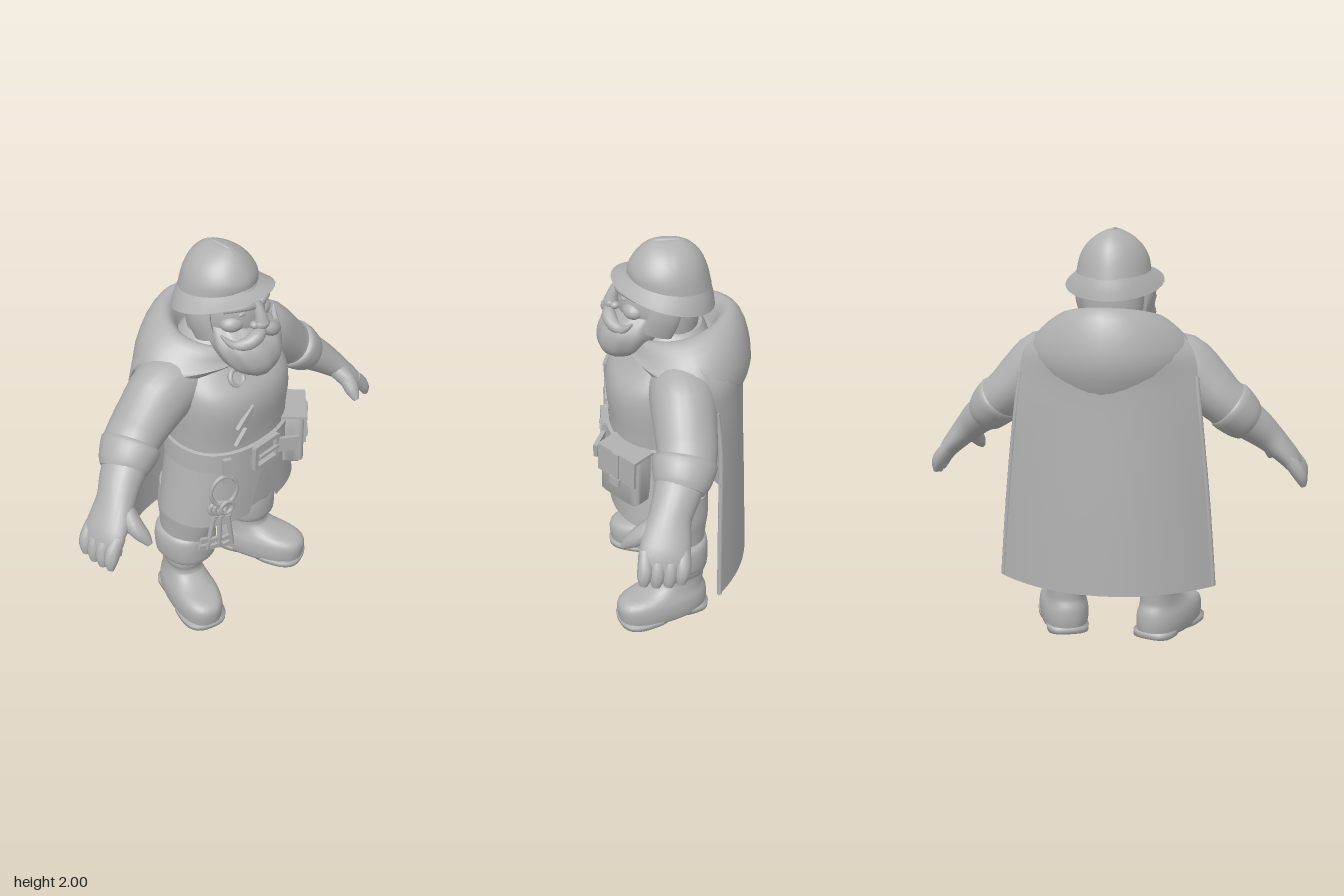
import * as THREE from 'three';
import { toCreasedNormals } from 'three/addons/utils/BufferGeometryUtils.js';

const V = (x, y, z) => new THREE.Vector3(x, y, z);

// Catmull-Rom resampling of number rows, k steps per span
function smooth(rows, k) {
  const out = [], at = i => rows[Math.max(0, Math.min(rows.length - 1, i))];
  for (let i = 0; i < rows.length - 1; i++) for (let s = 0; s < k; s++) {
    const t = s / k, a = at(i - 1), b = at(i), c = at(i + 1), d = at(i + 2);
    out.push(b.map((v, j) => v + 0.5 * t * (c[j] - a[j] +
      t * (2 * a[j] - 5 * v + 4 * c[j] - d[j] + t * (3 * (v - c[j]) + d[j] - a[j])))));
  }
  out.push(rows[rows.length - 1]);
  return out;
}

// Skin a list of point rings; closed rings wrap, caps collapse to the ring centre
function skin(rings, { closed = true, caps = true, crease = 0.8 } = {}) {
  const n = rings[0].length, all = [...rings];
  const flat = r => { const c = V(0, 0, 0); r.forEach(p => c.addScaledVector(p, 1 / n)); return r.map(() => c); };
  if (caps) { all.unshift(flat(rings[0])); all.push(flat(rings[rings.length - 1])); }
  const pos = all.flatMap(r => r.flatMap(p => [p.x, p.y, p.z])), idx = [];
  for (let j = 0; j < all.length - 1; j++) for (let i = 0; i < (closed ? n : n - 1); i++) {
    const a = j * n + i, b = j * n + (i + 1) % n;
    idx.push(a, b, a + n, b, b + n, a + n);
  }
  const g = new THREE.BufferGeometry();
  g.setAttribute('position', new THREE.Float32BufferAttribute(pos, 3));
  g.setIndex(idx);
  return toCreasedNormals(g, crease);
}

// Horizontal rings, rows = [y, z, rx, rz, tilt, x, gap]; gap opens the front
function loft(rows, { p = 2, n = 32, sub = 3, caps = true, ripple = () => 1, crease } = {}) {
  const full = rows.map(r => [0, 1, 2, 3, 4, 5, 6].map(i => r[i] || 0));
  const open = full.some(r => r[6] > 0);
  const rings = smooth(full, sub).map(([y, z, rx, rz, tilt, x, gap]) =>
    Array.from({ length: open ? n + 1 : n }, (_, i) => {
      const a = gap + (2 * Math.PI - 2 * gap) * i / n, s = Math.sin(a), c = Math.cos(a);
      const k = (Math.abs(s) ** p + Math.abs(c) ** p) ** (-1 / p) * ripple(a, y);
      return V(x + rx * s * k, y + tilt * rz * c * k, z + rz * c * k);
    }));
  return skin(rings, { closed: !open, caps: caps && !open, crease });
}

// Rings across a path, rows = [x, y, z, r, rDepth]
function limb(rows, { n = 16, sub = 3 } = {}) {
  const pts = smooth(rows.map(r => [r[0], r[1], r[2], r[3], r[4] ?? r[3]]), sub);
  const c = pts.map(r => V(r[0], r[1], r[2]));
  return skin(pts.map((r, j) => {
    const t = c[Math.min(j + 1, c.length - 1)].clone().sub(c[Math.max(j - 1, 0)]).normalize();
    const e2 = V(0, 0, 1).addScaledVector(t, -t.z).normalize(), e1 = t.clone().cross(e2);
    return Array.from({ length: n }, (_, i) => {
      const a = 2 * Math.PI * i / n;
      return c[j].clone().addScaledVector(e1, r[3] * Math.sin(a)).addScaledVector(e2, r[4] * Math.cos(a));
    });
  }));
}

const ball = (x, y, z, a, b, c) => new THREE.SphereGeometry(1, 20, 14).scale(a, b, c).translate(x, y, z);
const box = (w, h, d, x = 0, y = 0, z = 0) => new THREE.BoxGeometry(w, h, d).translate(x, y, z);

function mirrored(geo) {
  const g = geo.clone().scale(-1, 1, 1);
  const idx = g.index ? Array.from(g.index.array) : Array.from({ length: g.attributes.position.count }, (_, i) => i);
  g.setIndex(idx.reverse());
  return g;
}

export function createModel() {
  const model = new THREE.Group();
  const grey = new THREE.MeshStandardMaterial({ color: 0xb0b0b0, side: THREE.DoubleSide });
  grey.name = 'plain grey';
  const add = (name, geo, parent = model) => {
    const m = new THREE.Mesh(geo, grey);
    m.name = name; parent.add(m); return m;
  };
  const both = (name, geo) => { add(name + 'Left', geo); add(name + 'Right', mirrored(geo)); };

  // Helmet: upswept brim and ridged dome
  add('helmetBrim', loft([[1.742, 0.03, 0.24, 0.24, 0.31], [1.77, 0.015, 0.212, 0.217, 0.22],
    [1.8, 0, 0.18, 0.19, 0.16]], { caps: false }));
  add('helmetDome', loft([[1.795, 0, 0.18, 0.19, 0.16], [1.86, 0.01, 0.168, 0.18, 0.04], [1.92, 0.01, 0.135, 0.152],
    [1.965, 0.01, 0.085, 0.112], [1.992, 0.01, 0.03, 0.07]], { n: 48, ripple: a => 1 + 0.02 * Math.abs(Math.cos(a)) ** 40 }));
  add('helmetCrest', ball(0, 1.99, 0.01, 0.012, 0.01, 0.068));

  // Head and face
  add('head', ball(0, 1.7, 0.06, 0.165, 0.2, 0.185));
  add('noseBridge', limb([[0, 1.785, 0.235, 0.022], [0, 1.73, 0.262, 0.028], [0, 1.69, 0.272, 0.036]], { n: 12 }));
  add('noseTip', ball(0, 1.688, 0.275, 0.038, 0.03, 0.03));
  both('nostril', ball(0.032, 1.685, 0.255, 0.02, 0.018, 0.022));
  both('brow', limb([[0.015, 1.77, 0.24, 0.016], [0.07, 1.785, 0.226, 0.022], [0.14, 1.765, 0.165, 0.012]], { n: 10 }));
  both('eye', ball(0.065, 1.742, 0.215, 0.026, 0.011, 0.012));
  both('cheek', ball(0.085, 1.69, 0.17, 0.065, 0.045, 0.055));
  both('sideburn', limb([[0.155, 1.79, 0.04, 0.025, 0.06], [0.17, 1.69, 0.04, 0.028, 0.075], [0.155, 1.59, 0.07, 0.025, 0.07]]));
  add('hair', loft([[1.56, -0.03, 0.14, 0.1], [1.64, -0.03, 0.15, 0.11], [1.78, -0.03, 0.155, 0.11]]));
  add('beard', loft([[1.4, 0.235, 0.012, 0.02], [1.425, 0.235, 0.065, 0.07], [1.47, 0.22, 0.125, 0.115],
    [1.52, 0.2, 0.158, 0.142], [1.58, 0.175, 0.177, 0.148], [1.63, 0.15, 0.168, 0.125], [1.67, 0.12, 0.15, 0.11]],
  { n: 56, ripple: (a, y) => 1 + 0.018 * Math.cos(10 * a + 14 * (y - 1.4)) }));
  both('moustache', limb([[-0.005, 1.662, 0.275, 0.018], [0.04, 1.645, 0.285, 0.034], [0.09, 1.618, 0.268, 0.032],
    [0.14, 1.615, 0.228, 0.02], [0.178, 1.665, 0.185, 0.005]], { n: 12 }));

  // Tunic with a split skirt over an inner layer
  add('tunic', loft([[0.64, 0.06, 0.358, 0.23], [0.8, 0.06, 0.335, 0.234], [0.96, 0.06, 0.312, 0.235],
    [1.1, 0.06, 0.312, 0.238], [1.24, 0.06, 0.318, 0.25], [1.34, 0.05, 0.31, 0.238], [1.42, 0.01, 0.28, 0.2],
    [1.52, -0.02, 0.2, 0.16], [1.58, -0.02, 0.14, 0.13]], { p: 2.3, n: 40 }));
  add('skirt', loft([[0.625, 0.06, 0.388, 0.25, 0, 0, 0.26], [0.78, 0.06, 0.358, 0.25, 0, 0, 0.13],
    [0.95, 0.06, 0.325, 0.246, 0, 0, 0.01]], { p: 2.3, n: 40 }));
  [[[-0.19, 1.2], [-0.085, 1.29], [-0.1, 1.19]], [[-0.2, 1.11], [-0.13, 1.18], [-0.085, 1.09]]].forEach((t, i) =>
    add('chestFastening' + (i + 1), new THREE.ExtrudeGeometry(
      new THREE.Shape(t.map(q => new THREE.Vector2(...q))), { depth: 0.02, bevelEnabled: false })
      .translate(0, 0, 0.29)));

  // Draped hood, pointed at the back, and hanging cape
  add('hood', loft([[1.34, -0.08, 0.37, 0.26, 0.42], [1.43, -0.085, 0.4, 0.302, 0.17], [1.52, -0.075, 0.34, 0.28, -0.15],
    [1.59, -0.05, 0.24, 0.248, -0.22], [1.575, -0.04, 0.19, 0.2, -0.24], [1.5, -0.03, 0.16, 0.17, -0.2]],
  { caps: false, n: 40, p: 1.8 }));
  add('clasp', new THREE.TorusGeometry(0.04, 0.012, 8, 20).rotateX(-0.5).translate(-0.1, 1.41, 0.215));
  const cape = smooth([[0.305, 0.53, -0.19, -0.385], [0.7, 0.5, -0.19, -0.37], [1.1, 0.46, -0.19, -0.352],
    [1.3, 0.435, -0.175, -0.348], [1.43, 0.41, -0.15, -0.36], [1.52, 0.34, -0.1, -0.33]], 4);
  add('cape', skin(cape.map(([y, w, edge, back]) => Array.from({ length: 33 }, (_, i) => {
    const u = i / 16 - 1, low = Math.max(0, 1.2 - y) / 0.9;
    return V(-u * w, y - (1 - u * u) * 0.02 * low, back + (edge - back) * Math.abs(u) ** 2.2);
  })), { closed: false, caps: false }));
  both('capeHem', limb([[0.52, 0.31, -0.195, 0.012], [0.49, 0.7, -0.195, 0.012], [0.45, 1.1, -0.195, 0.012],
    [0.425, 1.32, -0.175, 0.012]], { n: 8 }));

  // Arms: sleeve, turned gauntlet cuff, glove
  both('sleeve', limb([[0.18, 1.38, -0.03, 0.13, 0.15], [0.33, 1.345, -0.03, 0.163, 0.155], [0.45, 1.26, -0.03, 0.138, 0.145],
    [0.52, 1.2, -0.03, 0.12, 0.14], [0.58, 1.15, -0.02, 0.115, 0.135]], { n: 24 }));
  both('gauntletCuff', limb([[0.55, 1.175, -0.02, 0.1, 0.125], [0.567, 1.16, -0.015, 0.125, 0.15],
    [0.63, 1.1, 0.005, 0.112, 0.132], [0.66, 1.075, 0.015, 0.095, 0.11]], { n: 24 }));
  both('glove', limb([[0.6, 1.125, 0, 0.1, 0.12], [0.69, 1.055, 0.04, 0.088, 0.105], [0.75, 1.0, 0.07, 0.074, 0.098],
    [0.81, 0.94, 0.09, 0.06, 0.11], [0.865, 0.88, 0.105, 0.048, 0.115], [0.9, 0.82, 0.115, 0.03, 0.105]], { n: 24 }));
  for (let i = 0; i < 4; i++) {
    const z = 0.02 + i * 0.056, tip = 0.755 + 0.012 * Math.abs(i - 1.4);
    both('finger' + (i + 1), limb([[0.85, 0.9, z, 0.032], [0.895, 0.845, z + 0.005, 0.036],
      [0.918, tip + 0.03, z + 0.012, 0.03, 0.033], [0.928, tip - 0.01, z + 0.018, 0.014, 0.018]], { n: 10 }));
  }
  both('thumb', limb([[0.76, 0.98, 0.12, 0.05], [0.77, 0.93, 0.2, 0.044], [0.758, 0.885, 0.25, 0.034],
    [0.75, 0.85, 0.285, 0.014]], { n: 12 }));

  // Legs, folded trouser cuffs and boots
  both('trouser', loft([[0.4, -0.01, 0.125, 0.14, 0, 0.22], [0.52, 0, 0.135, 0.16, 0, 0.215],
    [0.6, 0, 0.145, 0.17, 0, 0.21], [0.72, 0, 0.15, 0.17, 0, 0.19]]));
  both('trouserCuff', loft([[0.285, -0.015, 0.12, 0.135, 0, 0.225], [0.3, -0.015, 0.138, 0.152, 0, 0.225],
    [0.38, -0.015, 0.146, 0.155, 0, 0.225], [0.435, -0.015, 0.138, 0.15, 0, 0.225], [0.455, -0.015, 0.12, 0.135, 0, 0.225]], { p: 2.3 }));
  const place = g => g.rotateY(0.34).translate(0.25, 0, 0);
  both('boot', place(loft([[0.01, 0.07, 0.112, 0.232], [0.06, 0.07, 0.12, 0.24], [0.11, 0.07, 0.116, 0.238],
    [0.14, 0.055, 0.105, 0.215], [0.165, 0.01, 0.095, 0.16], [0.2, -0.025, 0.088, 0.125], [0.23, -0.03, 0.088, 0.122],
    [0.265, -0.03, 0.1, 0.13], [0.32, -0.03, 0.1, 0.125]], { p: 2.5, crease: 2 })));
  both('toeSole', place(loft([[0, 0.17, 0.116, 0.138], [0.025, 0.17, 0.118, 0.141]], { p: 2.8, sub: 1, crease: 2 })));
  both('heelSole', place(loft([[0, -0.075, 0.103, 0.094], [0.03, -0.075, 0.105, 0.096]], { p: 3, sub: 1, crease: 2 })));

  // Belt, buckle and loose strap end
  add('belt', loft([[0.935, 0.06, 0.32, 0.246], [0.94, 0.06, 0.332, 0.258], [1.045, 0.06, 0.326, 0.256],
    [1.05, 0.06, 0.312, 0.24]], { p: 2.3, n: 40, sub: 1, caps: false, crease: 0.6 }));
  const buckle = new THREE.Group();
  buckle.name = 'buckle';
  buckle.position.set(-0.01, 0.98, 0.325);
  model.add(buckle);
  [-1, 1].forEach(s => {
    add('buckleBar', box(0.16, 0.02, 0.025, 0, s * 0.06, 0), buckle);
    add('buckleSide', box(0.022, 0.13, 0.025, s * 0.075, 0, 0), buckle);
  });
  add('bucklePin', box(0.13, 0.016, 0.016, 0.01, 0, 0.012), buckle);
  add('strapEnd', box(0.13, 0.075, 0.02).rotateY(-0.45).rotateZ(-0.15).translate(0.11, 0.97, 0.348));

  // Belt pouch
  const pouch = new THREE.Group();
  pouch.name = 'pouch';
  pouch.position.set(0.28, 0.92, 0.235);
  pouch.rotation.set(0, 0.74, -0.04);
  model.add(pouch);
  add('pouchBody', loft([[-0.14, 0, 0.105, 0.052], [-0.125, 0, 0.12, 0.064], [0.11, 0, 0.118, 0.06],
    [0.13, 0, 0.11, 0.05]], { p: 6, sub: 1 }), pouch);
  add('pouchFlap', box(0.238, 0.145, 0.014, 0, 0.062, 0.065), pouch);
  add('pouchTop', box(0.238, 0.016, 0.13, 0, 0.132, 0.006), pouch);
  add('pouchStrap', box(0.042, 0.19, 0.014, 0, 0.045, 0.073), pouch);
  add('pouchCatch', box(0.06, 0.04, 0.014, 0, -0.02, 0.078), pouch);

  // Key ring with hanging keys
  add('keyRing', new THREE.TorusGeometry(0.075, 0.011, 8, 28).scale(0.9, 1.15, 1).rotateY(-0.4).translate(-0.265, 0.87, 0.29));
  add('keyLoop', box(0.04, 0.14, 0.02).rotateY(-0.5).translate(-0.25, 0.985, 0.295));
  [[-0.295, -0.2, 0.265], [-0.255, 0.12, 0.3], [-0.28, -0.03, 0.28]].forEach(([x, lean, z], i) => {
    const key = new THREE.Group();
    key.name = 'key' + (i + 1);
    key.position.set(x, 0.765, z);
    key.rotation.set(0, -0.3, lean);
    model.add(key);
    add('keyBow', new THREE.TorusGeometry(0.034, 0.011, 8, 18), key);
    add('keyShaft', new THREE.CylinderGeometry(0.012, 0.012, 0.215, 10).translate(0, -0.14, 0), key);
    add('keyCollar', new THREE.CylinderGeometry(0.018, 0.018, 0.016, 10).translate(0, -0.05, 0), key);
    [-0.19, -0.232].forEach(y => add('keyTooth', box(0.05, 0.024, 0.016, -0.024, y, 0), key));
  });
  return model;
}
